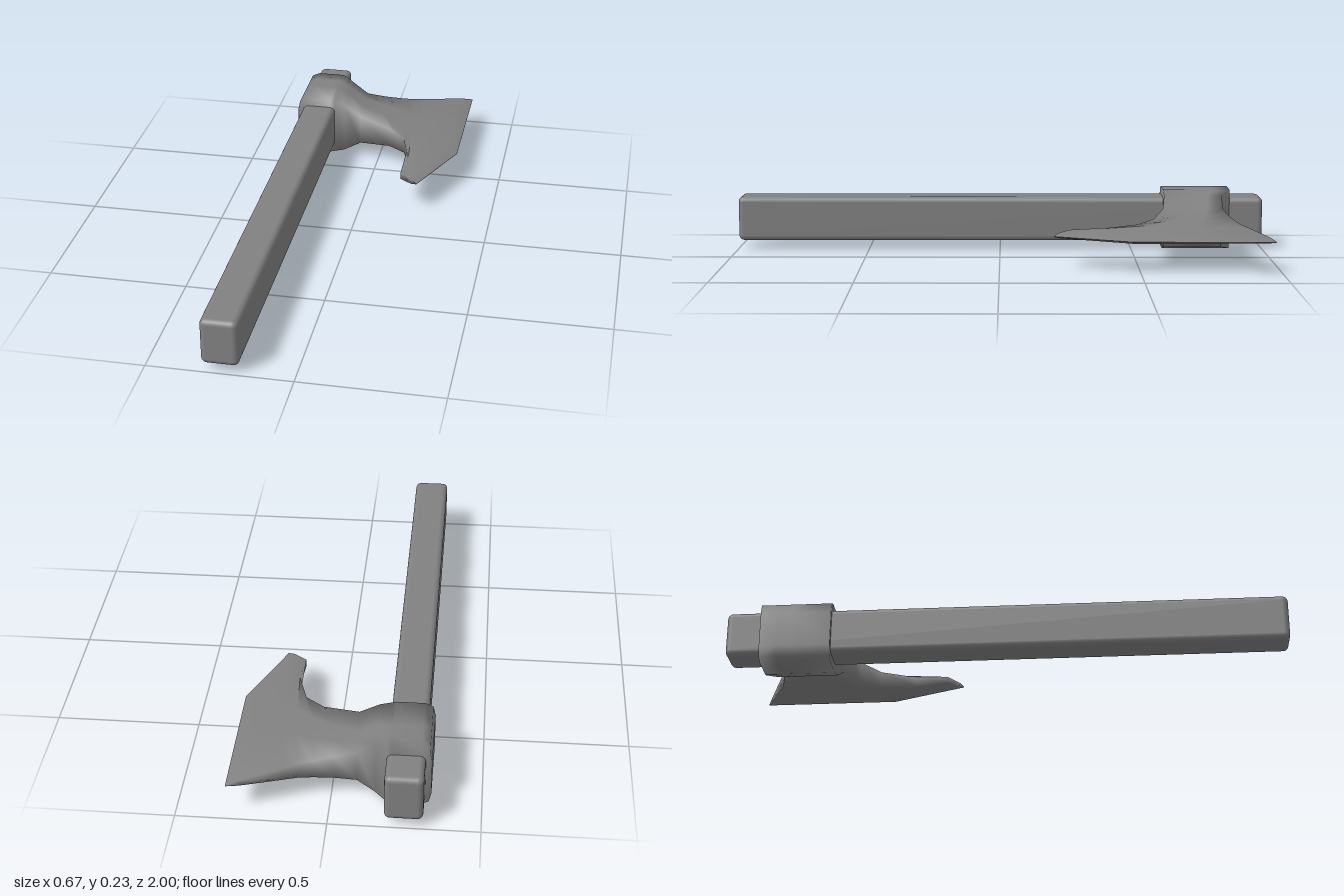
import * as THREE from 'three';
import { RoundedBoxGeometry } from 'three/addons/geometries/RoundedBoxGeometry.js';

const MID_Y = 0.115;

// Cross-sections from the poll to the cutting edge.
// Each holds three [x, z, half thickness] points: back, middle, front.
const socket = (x, h) => [[x, -0.873, h], [x, -0.75, h], [x, -0.62, h]];
const SECTIONS = [
  socket(-0.333, 0.065),
  socket(-0.325, 0.101),
  socket(-0.297, 0.114),
  socket(-0.2, 0.114),
  socket(-0.185, 0.11),
  [[-0.145, -0.838, 0.1], [-0.145, -0.73, 0.1], [-0.145, -0.62, 0.1]],
  [[-0.085, -0.835, 0.057], [-0.085, -0.72, 0.057], [-0.075, -0.61, 0.057]],
  [[-0.01, -0.846, 0.044], [0, -0.68, 0.046], [0.05, -0.565, 0.038]],
  [[0.06, -0.862, 0.034], [0.08, -0.63, 0.036], [0.12, -0.5, 0.029]],
  [[0.11, -0.877, 0.028], [0.14, -0.57, 0.03], [0.155, -0.37, 0.019]],
  [[0.15, -0.895, 0.024], [0.195, -0.52, 0.024], [0.145, -0.25, 0.013]],
  [[0.29, -0.955, 0.011], [0.29, -0.48, 0.0135], [0.193, -0.21, 0.009]],
  [[0.333, -0.975, 0.001], [0.333, -0.475, 0.001], [0.215, -0.195, 0.001]],
];

function headGeometry() {
  const pos = [], index = [], N = 8;
  for (const [back, mid, front] of SECTIONS) {
    const between = back.map((v, i) => (v + mid[i]) / 2);
    const row = [back, between, mid, front];
    for (const [x, z, h] of row) pos.push(x, MID_Y + h, z);
    for (const [x, z, h] of [...row].reverse()) pos.push(x, MID_Y - h, z);
  }
  // Skin between neighbouring loops
  const last = SECTIONS.length - 1;
  for (let s = 0; s < last; s++) {
    for (let j = 0; j < N; j++) {
      const a = s * N + j, b = s * N + (j + 1) % N;
      index.push(a, b, b + N, a, b + N, a + N);
    }
  }
  // Poll face and the thin strip along the cutting edge
  for (let j = 0; j < 3; j++) {
    const e = last * N;
    index.push(j, 7 - j, 6 - j, j, 6 - j, j + 1);
    index.push(e + j, e + 6 - j, e + 7 - j, e + j, e + j + 1, e + 6 - j);
  }
  const geo = new THREE.BufferGeometry();
  geo.setAttribute('position', new THREE.Float32BufferAttribute(pos, 3));
  geo.setIndex(index);
  // Shared corners give the soft, forged shading
  geo.computeVertexNormals();
  return geo;
}

export function createModel() {
  const group = new THREE.Group();
  group.name = 'axe';
  const material = new THREE.MeshStandardMaterial({ color: 0x808080 });

  // Long rounded handle
  const handle = new THREE.Mesh(new RoundedBoxGeometry(0.128, 0.168, 2, 3, 0.02), material);
  handle.name = 'handle';
  handle.position.set(-0.248, 0.115, 0);

  // Socket and bearded blade in one piece
  const head = new THREE.Mesh(headGeometry(), material);
  head.name = 'axeHead';

  group.add(handle, head);
  return group;
}
